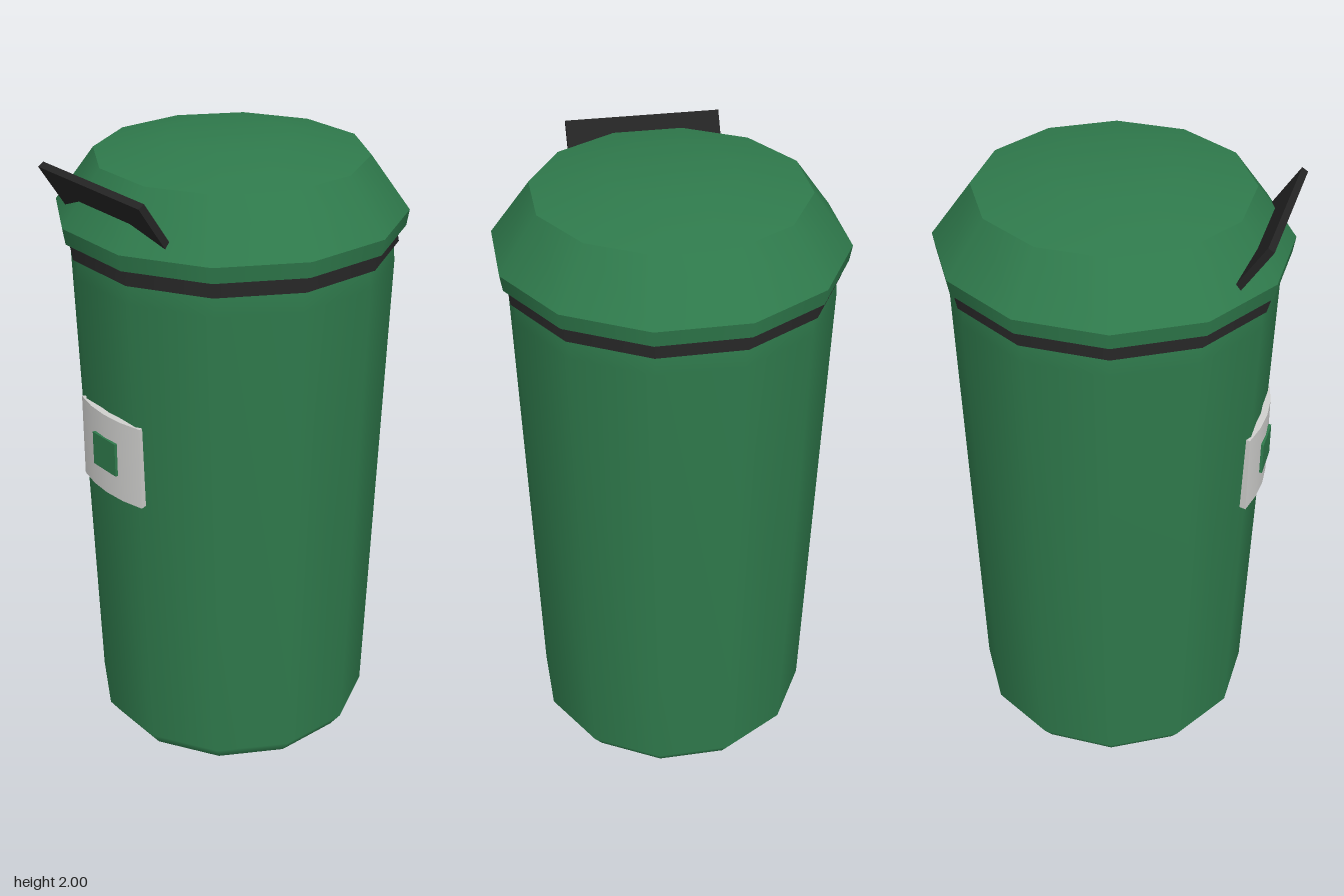
import * as THREE from 'three';

const SIDES = 12;
const STEP = Math.PI / SIDES;
const mat = (name, color, side = THREE.FrontSide) => {
  const m = new THREE.MeshStandardMaterial({ color, side });
  m.name = name;
  return m;
};

// Smooth lathe ring; radii are given to the flat sides, not the corners
function ring(name, material, profile) {
  const pts = profile.map(([r, y]) => new THREE.Vector2(r / Math.cos(STEP), y));
  const mesh = new THREE.Mesh(new THREE.LatheGeometry(pts, SIDES, STEP), material);
  mesh.name = name;
  return mesh;
}

function box(name, material, size, position) {
  const mesh = new THREE.Mesh(new THREE.BoxGeometry(...size), material);
  mesh.name = name;
  mesh.position.set(...position);
  return mesh;
}

export function createModel() {
  const green = mat('bin green', 0x2f7a4c);
  const black = mat('rubber black', 0x242424);
  const grey = mat('label grey', 0xd0d0ce, THREE.DoubleSide);

  const model = new THREE.Group();
  model.name = 'bin';

  // Tapered body with bevelled foot
  const body = new THREE.Group();
  body.name = 'body';
  body.add(
    ring('bodyBase', green, [[0, 0], [0.405, 0]]),
    ring('bodyWall', green, [[0.405, 0], [0.44, 0.05], [0.486, 1.62], [0.48, 1.685]])
  );

  // Dark seal under the lid
  const seal = new THREE.Group();
  seal.name = 'seal';
  seal.add(
    ring('sealUnderside', black, [[0.47, 1.682], [0.496, 1.682]]),
    ring('sealBand', black, [[0.496, 1.682], [0.486, 1.74]])
  );

  // Domed lid, each ring separate to keep its edges sharp
  const lid = new THREE.Group();
  lid.name = 'lid';
  lid.add(
    ring('lidUnderside', green, [[0.45, 1.733], [0.515, 1.733]]),
    ring('lidRim', green, [[0.515, 1.733], [0.523, 1.783]]),
    ring('lidSlope', green, [[0.523, 1.783], [0.405, 1.95]]),
    ring('lidTop', green, [[0.405, 1.95], [0.19, 2], [0, 2]])
  );

  // Tilted handle plate, partly sunk into the lid slope
  const handle = box('handle', black, [0.492, 0.16, 0.022], [0, 1.884, 0.473]);
  handle.rotation.x = 0.575;

  // Curved label on the front with a small raised square
  const arc = Math.asin(0.15 / 0.499);
  const section = [[0.478, 0.953], [0.499, 0.953], [0.499, 0.953], [0.499, 1.223], [0.499, 1.223], [0.478, 1.223]];
  const label = new THREE.Group();
  label.name = 'label';
  for (let i = 0; i < 3; i++) {
    const pts = section.slice(i * 2, i * 2 + 2).map(([r, y]) => new THREE.Vector2(r, y));
    const face = new THREE.Mesh(new THREE.LatheGeometry(pts, 4, -arc, arc * 2), grey);
    face.name = ['labelBottomEdge', 'labelFace', 'labelTopEdge'][i];
    label.add(face);
  }
  // Side edges of the label
  for (const s of [-1, 1]) {
    const edge = new THREE.Mesh(new THREE.PlaneGeometry(0.021, 0.27), grey);
    edge.name = s > 0 ? 'labelLeftEdge' : 'labelRightEdge';
    edge.position.set(s * 0.4885 * Math.sin(arc), 1.088, 0.4885 * Math.cos(arc));
    edge.rotation.y = s * arc - Math.PI / 2;
    label.add(edge);
  }
  const square = box('labelSquare', green, [0.114, 0.11, 0.009], [0, 1.09, 0.5]);

  model.add(body, seal, lid, handle, label, square);
  return model;
}
